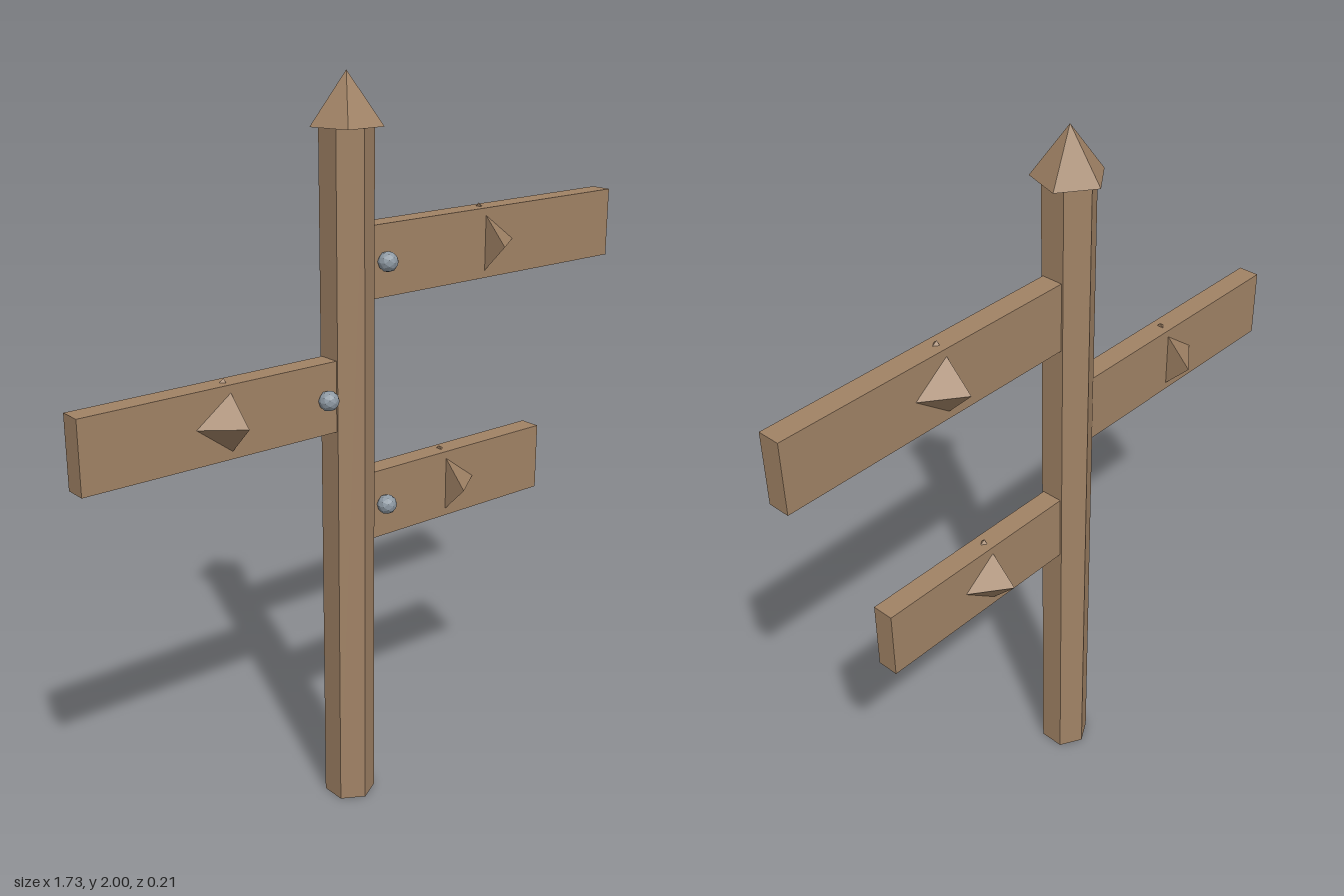
import * as THREE from 'three';

const wood = new THREE.MeshStandardMaterial({ name: 'wood', color: 0xa08265, flatShading: true });
const steel = new THREE.MeshStandardMaterial({ name: 'steel', color: 0x8e99a3, flatShading: true });

const POST_X = -0.07;
const POST_RADIUS = 0.07;
const POST_FLAT = POST_RADIUS * Math.cos(Math.PI / 6);

function part(name, geometry, material, x, y, z = 0) {
  const mesh = new THREE.Mesh(geometry, material);
  mesh.name = name;
  mesh.position.set(x, y, z);
  return mesh;
}

// A board pointing along side (+1 or -1), with a pierced arrow and a nail on the front
function sign(name, side, y, length, arrowStart) {
  const group = new THREE.Group();
  group.name = name;
  group.position.set(POST_X + side * POST_FLAT, y, 0);

  group.add(part('board', new THREE.BoxGeometry(length, 0.19, 0.06), wood, side * length / 2, 0));

  // four-sided cone, long enough across to poke through every face of the board
  const arrow = part('arrow', new THREE.ConeGeometry(0.105, 0.142, 4), wood, side * (arrowStart + 0.071), 0);
  arrow.rotation.z = -side * Math.PI / 2;
  group.add(arrow);

  group.add(part('nail', new THREE.IcosahedronGeometry(0.027, 1), steel, side * 0.036, 0, 0.045));
  return group;
}

export function createModel() {
  const model = new THREE.Group();
  model.name = 'signpost';

  // hexagonal post with a five-sided pointed cap
  model.add(part('post', new THREE.CylinderGeometry(POST_RADIUS, POST_RADIUS, 1.87, 6), wood, POST_X, 0.935));
  const cap = part('cap', new THREE.ConeGeometry(0.096, 0.132, 5), wood, POST_X, 1.934);
  cap.rotation.y = Math.PI;
  model.add(cap);

  model.add(sign('upperSign', 1, 1.525, 0.875, 0.39));
  model.add(sign('middleSign', -1, 1.193, 0.737, 0.322));
  model.add(sign('lowerSign', 1, 0.863, 0.62, 0.262));
  return model;
}
